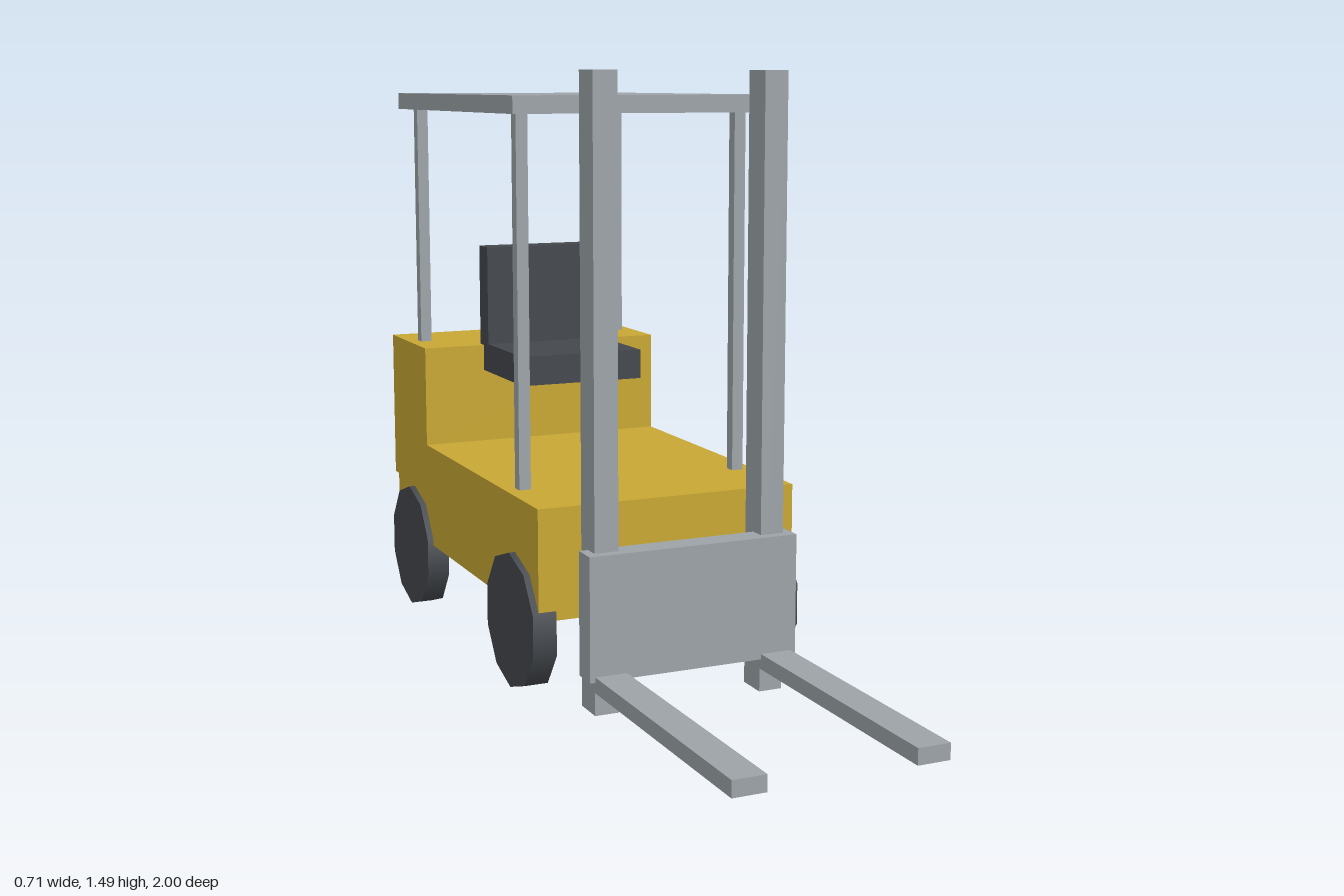
import * as THREE from 'three';

const yellow = new THREE.MeshStandardMaterial({ color: 0xc9a834 });
const steel = new THREE.MeshStandardMaterial({ color: 0x9da4a8 });
const dark = new THREE.MeshStandardMaterial({ color: 0x44484d });

export function createModel() {
  const model = new THREE.Group();
  model.name = 'forklift';

  const add = (name, geometry, material) => {
    const mesh = new THREE.Mesh(geometry, material);
    mesh.name = name;
    model.add(mesh);
    return mesh;
  };

  // Box given by its extents along each axis
  const box = (name, material, [x0, x1], [y0, y1], [z0, z1]) =>
    add(name, new THREE.BoxGeometry(x1 - x0, y1 - y0, z1 - z0), material)
      .position.set((x0 + x1) / 2, (y0 + y1) / 2, (z0 + z1) / 2);

  // Chassis with raised, overhanging counterweight: side profile (z, y) extruded across x
  const width = 0.676;
  const profile = [
    [0.155, 0.203], [0.155, 0.477], [-0.695, 0.477], [-0.695, 0.745],
    [-1, 0.745], [-1, 0.345], [-0.968, 0.345], [-0.968, 0.203],
  ].map(([z, y]) => new THREE.Vector2(z, y));
  const chassis = new THREE.ExtrudeGeometry(new THREE.Shape(profile), { depth: width, bevelEnabled: false });
  chassis.translate(0, 0, -width / 2).rotateY(-Math.PI / 2);
  add('chassis', chassis, yellow);

  // Seat
  box('seatCushion', dark, [-0.169, 0.169], [0.675, 0.752], [-0.722, -0.39]);
  box('seatBack', dark, [-0.169, 0.169], [0.752, 1.018], [-0.722, -0.657]);

  // Overhead guard and lifting carriage
  box('roof', steel, [-0.338, 0.338], [1.389, 1.432], [-0.898, 0.014]);
  box('carriage', steel, [-0.269, 0.269], [0.09, 0.39], [0.239, 0.304]);

  // Ten-sided wheel with a corner at the top
  const wheel = new THREE.CylinderGeometry(0.169, 0.169, 0.06, 10);
  wheel.rotateY(Math.PI / 2).rotateZ(Math.PI / 2);

  // Mirrored parts
  for (const [side, s] of [['left', 1], ['right', -1]]) {
    const across = (x, w) => [s * x - w / 2, s * x + w / 2];
    box(side + 'MastRail', steel, across(0.216, 0.06), [0, 1.49], [0.198, 0.278]);
    box(side + 'Fork', steel, across(0.216, 0.08), [0.065, 0.103], [0.222, 1]);
    box(side + 'FrontPost', steel, across(0.291, 0.03), [0.477, 1.389], [-0.083, -0.053]);
    box(side + 'RearPost', steel, across(0.291, 0.03), [0.745, 1.389], [-0.861, -0.831]);
    add(side + 'FrontWheel', wheel, dark).position.set(s * 0.324, 0.169, -0.002);
    add(side + 'RearWheel', wheel, dark).position.set(s * 0.324, 0.169, -0.814);
  }

  return model;
}
